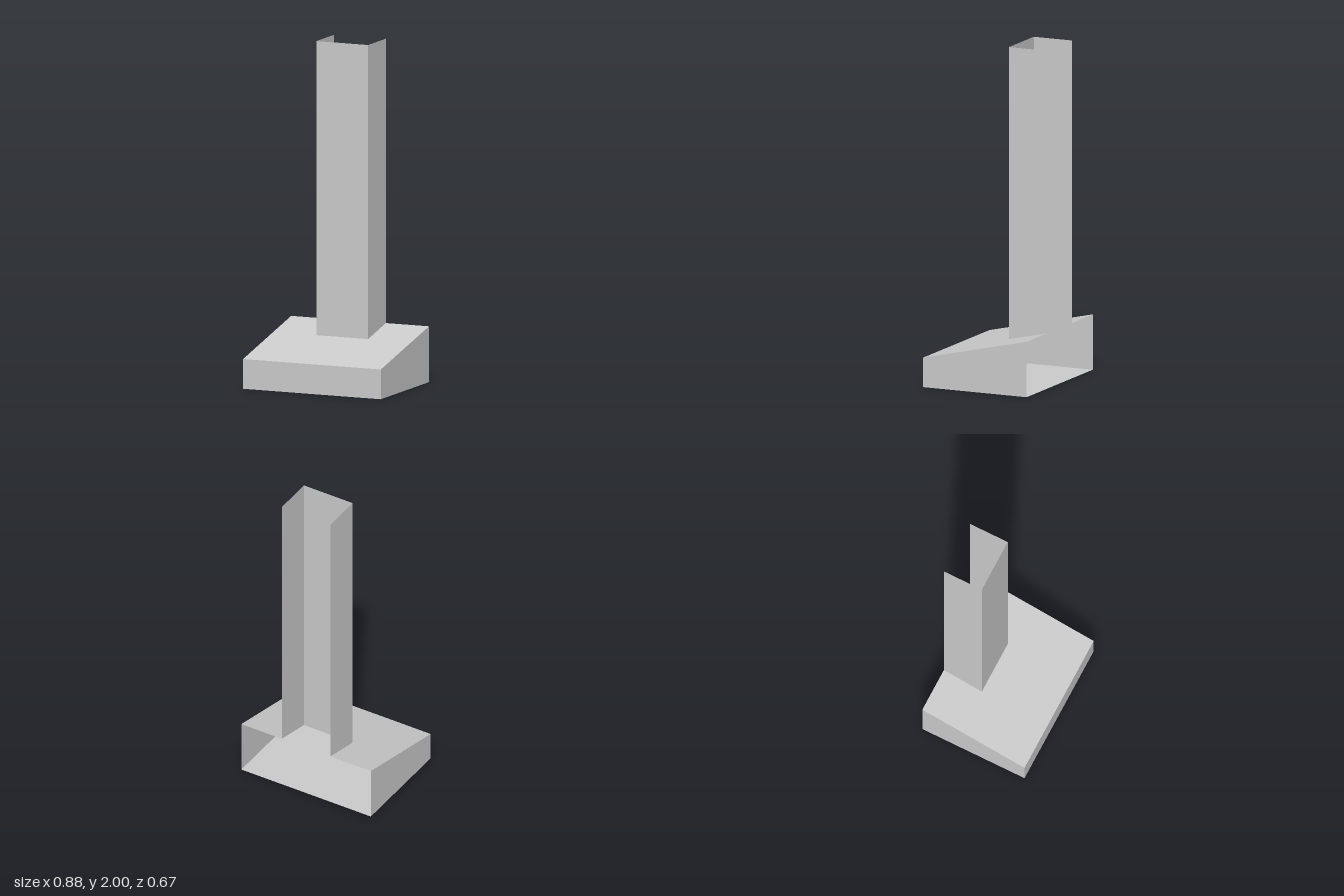
import * as THREE from 'three';

const W = 0.44, D = 0.333;            // hood half width and half depth
const FRONT_H = 0.175, BACK_H = 0.328; // hood heights
const CW = 0.165, CZ = -0.086, TOP = 2; // flue half width, front plane, top

const roofY = (z) => FRONT_H + (BACK_H - FRONT_H) * (D - z) / (2 * D);

const material = new THREE.MeshStandardMaterial({
  color: 0xcccccc, flatShading: true, side: THREE.DoubleSide,
});

// Flat four-cornered sheet, corners counter-clockwise seen from outside
function sheet(name, corners) {
  const geometry = new THREE.BufferGeometry();
  geometry.setAttribute('position', new THREE.Float32BufferAttribute(corners.flat(), 3));
  geometry.setIndex([0, 1, 2, 0, 2, 3]);
  geometry.computeVertexNormals();
  const mesh = new THREE.Mesh(geometry, material);
  mesh.name = name;
  return mesh;
}

// Side wall in the plane x, standing from bottom(z) up to top(z)
function sideWall(name, x, zFront, bottom, top) {
  const corners = [
    [x, bottom(zFront), zFront], [x, bottom(-D), -D],
    [x, top(-D), -D], [x, top(zFront), zFront],
  ];
  return sheet(name, x > 0 ? corners : corners.reverse());
}

// Sloping top with a notch at the back where the flue opens into the hood
function slopingTop() {
  const outline = [[-W, -D], [W, -D], [W, D], [CW, D], [CW, -CZ], [-CW, -CZ], [-CW, D], [-W, D]];
  const shape = new THREE.Shape(outline.map(([x, y]) => new THREE.Vector2(x, y)));
  const geometry = new THREE.ShapeGeometry(shape).rotateX(-Math.PI / 2);
  const p = geometry.attributes.position;
  for (let i = 0; i < p.count; i++) p.setY(i, roofY(p.getZ(i)));
  geometry.computeVertexNormals();
  const mesh = new THREE.Mesh(geometry, material);
  mesh.name = 'hoodTop';
  return mesh;
}

export function createModel() {
  const model = new THREE.Group();
  model.name = 'chimneyHood';
  const hood = new THREE.Group();
  hood.name = 'hood';
  const flue = new THREE.Group();
  flue.name = 'flue';
  model.add(hood, flue);

  // Hood: underside, front and sloping top, open at the back
  hood.add(
    sheet('hoodUnderside', [[-W, 0, -D], [W, 0, -D], [W, 0, D], [-W, 0, D]]),
    sheet('hoodFront', [[-W, 0, D], [W, 0, D], [W, FRONT_H, D], [-W, FRONT_H, D]]),
    slopingTop(),
  );

  // Flue: front panel, open at the back and top
  const y = roofY(CZ);
  flue.add(sheet('flueFront', [[-CW, y, CZ], [CW, y, CZ], [CW, TOP, CZ], [-CW, TOP, CZ]]));

  // Mirrored side walls
  for (const [side, s] of [['Left', 1], ['Right', -1]]) {
    hood.add(sideWall('hood' + side, s * W, D, () => 0, roofY));
    flue.add(sideWall('flue' + side, s * CW, CZ, roofY, () => TOP));
  }
  return model;
}
